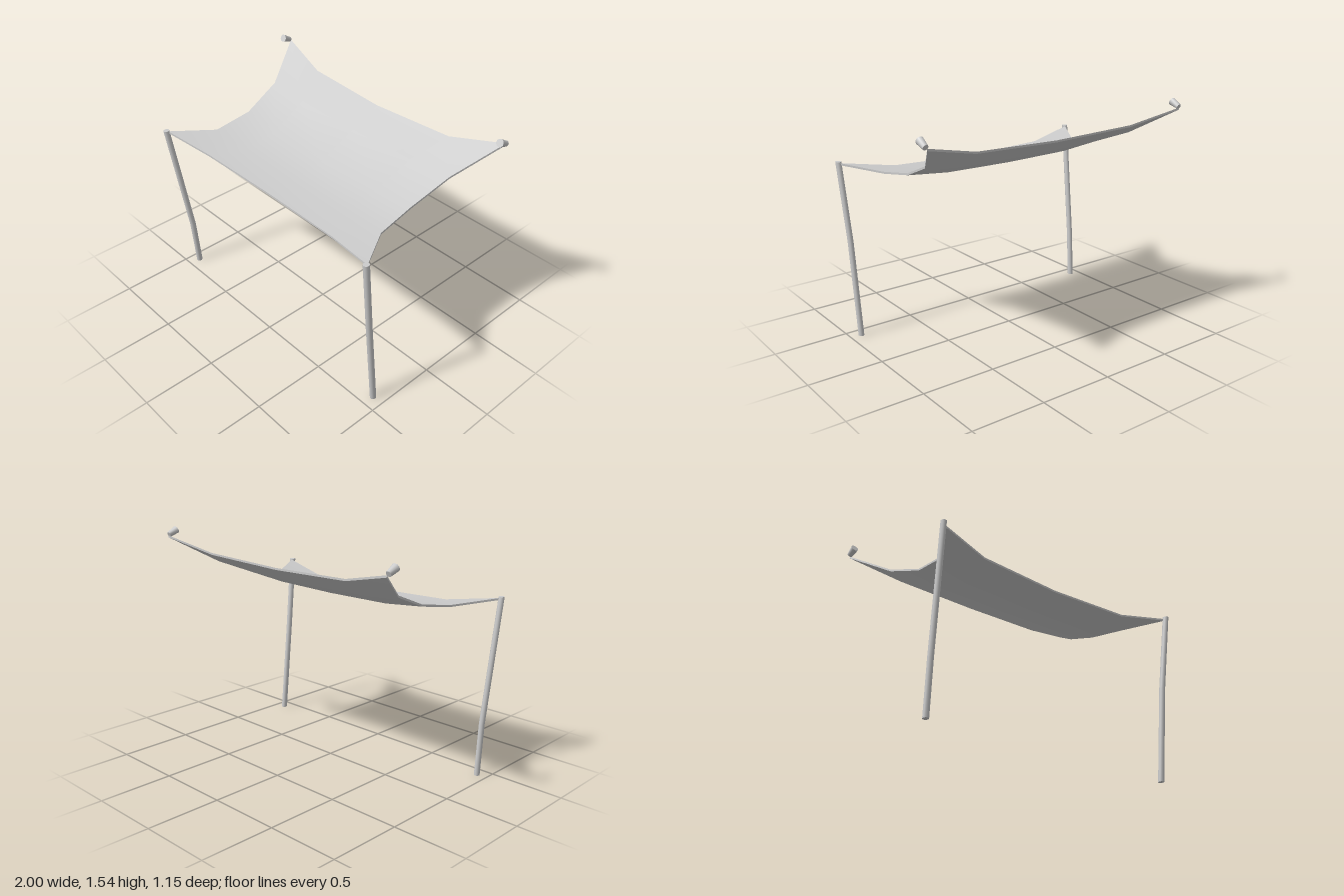
import * as THREE from 'three';
import { toCreasedNormals } from 'three/addons/utils/BufferGeometryUtils.js';

const material = new THREE.MeshStandardMaterial({ color: 0xcccccc });

function addMesh(group, name, geometry) {
  const mesh = new THREE.Mesh(toCreasedNormals(geometry, 0.9), material);
  mesh.name = name;
  group.add(mesh);
}

// Sagging cloth: each row runs from the middle to the side edge, [x, y, z]
function canopyGeometry() {
  const rows = [
    { mid: [0, 1.375, -0.48], edge: [0.97, 1.48, -0.575] },
    { mid: [0, 1.275, -0.265], edge: [0.81, 1.298, -0.28] },
    { mid: [0, 1.155, 0], edge: [0.765, 1.19, 0] },
    { mid: [0, 1.11, 0.25], edge: [0.78, 1.145, 0.265] },
    { mid: [0, 1.102, 0.45], edge: [0.95, 1.17, 0.545] },
  ];
  const columns = [-1, -0.62, 0, 0.62, 1];
  const n = columns.length;
  const thickness = 0.013;
  const positions = [];
  for (const drop of [0, thickness]) {
    for (const { mid, edge } of rows) {
      for (const u of columns) {
        const a = Math.abs(u);
        const w = a === 1 ? 1 : a === 0 ? 0 : 0.2;
        positions.push(
          u * edge[0],
          THREE.MathUtils.lerp(mid[1], edge[1], w) - drop,
          THREE.MathUtils.lerp(mid[2], edge[2], w),
        );
      }
    }
  }
  const index = [];
  const quad = (a, b, c, d) => index.push(a, b, c, a, c, d);
  const at = (r, c) => r * n + c;
  const under = n * n;
  for (let r = 0; r < n - 1; r++) {
    for (let c = 0; c < n - 1; c++) {
      const q = [at(r, c), at(r + 1, c), at(r + 1, c + 1), at(r, c + 1)];
      quad(...q);
      quad(...q.reverse().map((i) => i + under));
    }
  }
  // Thin rim around the cloth
  const rim = (a, b) => quad(a, a + under, b + under, b);
  for (let i = 0; i < n - 1; i++) {
    rim(at(i, 0), at(i + 1, 0));
    rim(at(n - 1, i), at(n - 1, i + 1));
    rim(at(i + 1, n - 1), at(i, n - 1));
    rim(at(0, i + 1), at(0, i));
  }
  const geometry = new THREE.BufferGeometry();
  geometry.setAttribute('position', new THREE.Float32BufferAttribute(positions, 3));
  geometry.setIndex(index);
  return geometry;
}

// Slightly bent pole: level rings moved onto the points base, bend and top
function poleGeometry(points) {
  const geometry = new THREE.CylinderGeometry(0.019, 0.019, 2, 10, 2);
  const p = geometry.attributes.position;
  for (let i = 0; i < p.count; i++) {
    const [x, y, z] = points[Math.round(p.getY(i)) + 1];
    p.setXYZ(i, p.getX(i) + x, y, p.getZ(i) * 1.12 + z);
  }
  return geometry;
}

// Short tapered fitting along a line
function fittingGeometry(from, to) {
  const axis = to.clone().sub(from);
  const geometry = new THREE.CylinderGeometry(0.026, 0.018, axis.length(), 10);
  geometry.applyQuaternion(
    new THREE.Quaternion().setFromUnitVectors(new THREE.Vector3(0, 1, 0), axis.normalize()),
  );
  const middle = from.clone().add(to).multiplyScalar(0.5);
  return geometry.translate(middle.x, middle.y, middle.z);
}

export function createModel() {
  const group = new THREE.Group();
  group.name = 'shadeSail';

  addMesh(group, 'canopy', canopyGeometry());

  addMesh(group, 'leftPole', poleGeometry([
    [0.925, 0, 0.42], [0.93, 0.65, 0.489], [0.95, 1.178, 0.555],
  ]));
  addMesh(group, 'rightPole', poleGeometry([
    [-0.93, 0, 0.42], [-0.932, 0.35, 0.444], [-0.955, 1.178, 0.555],
  ]));

  // Wall fittings at the raised back corners
  for (const side of [1, -1]) {
    addMesh(group, side > 0 ? 'leftFitting' : 'rightFitting', fittingGeometry(
      new THREE.Vector3(side * 0.975, 1.485, -0.567),
      new THREE.Vector3(side * 0.973, 1.513, -0.505),
    ));
  }
  return group;
}
